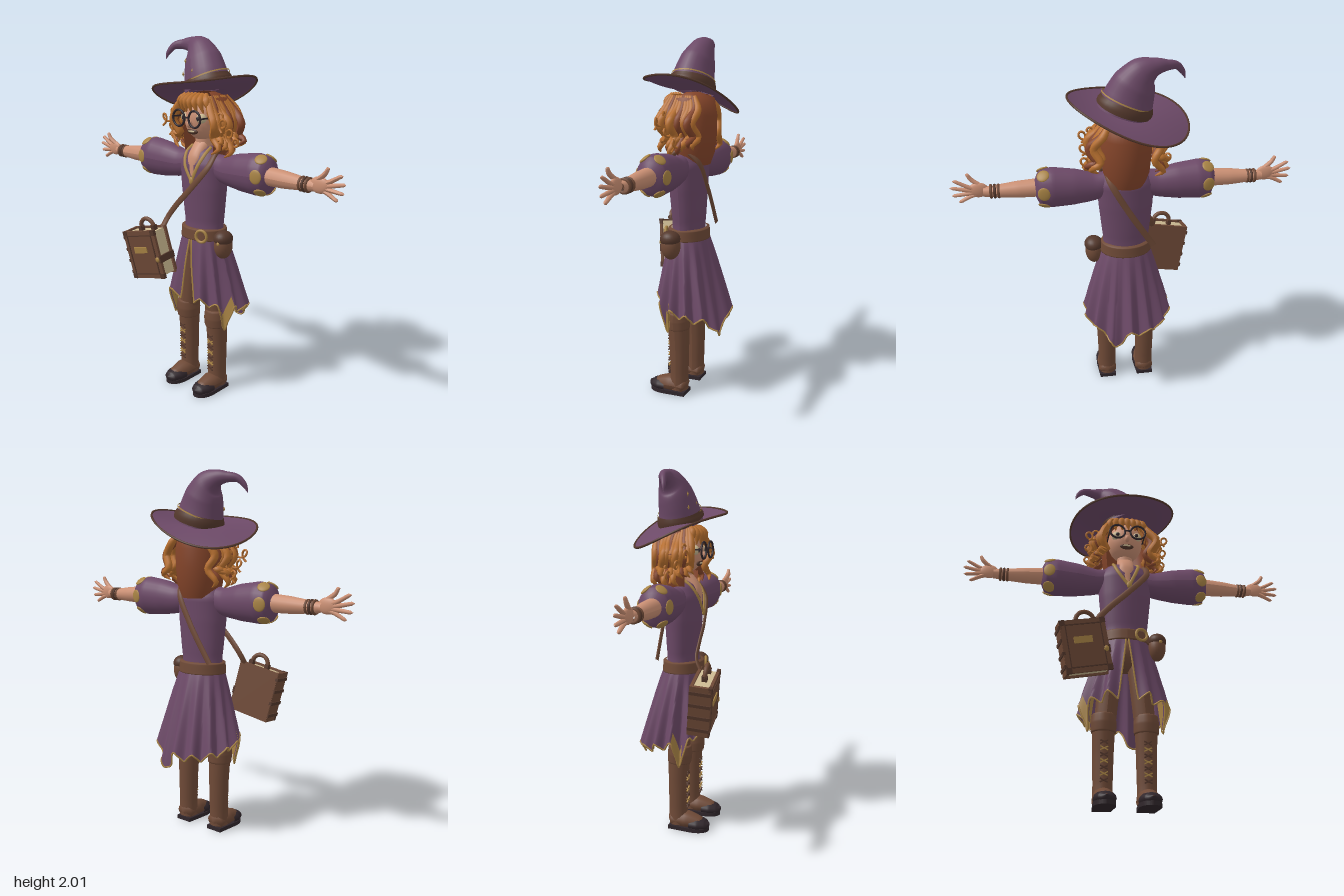
import * as THREE from 'three';
import { ParametricGeometry } from 'three/addons/geometries/ParametricGeometry.js';

const mat = (name, color, side = THREE.FrontSide) => {
  const m = new THREE.MeshStandardMaterial({ color, side });
  m.name = name;
  return m;
};
const V = (p) => new THREE.Vector3(...p);

export function createModel() {
  const D = THREE.DoubleSide;
  const purple = mat('purple cloth', 0x6c4967, D), brown = mat('brown leather', 0x6f4a37);
  const darkBrown = mat('dark leather', 0x54382c), orange = mat('orange hair', 0xb8702f);
  const rust = mat('rust hair', 0x85452a, D), skin = mat('skin', 0xcb9074);
  const gold = mat('gold', 0xa98445, D), cream = mat('cream', 0xcdbb93);
  const black = mat('black', 0x30262b);
  const root = new THREE.Group();
  root.name = 'witch';
  let seed = 7;
  const rnd = () => (seed = (seed * 16807) % 2147483647) / 2147483647;

  const group = (name, parent = root) => {
    const g = new THREE.Group();
    g.name = name;
    parent.add(g);
    return g;
  };
  const add = (parent, name, geo, material, pos = [0, 0, 0], rot = [0, 0, 0], scale = [1, 1, 1]) => {
    const m = new THREE.Mesh(geo, material);
    m.name = name;
    m.position.set(...pos);
    m.rotation.set(...rot);
    m.scale.set(...scale);
    parent.add(m);
    return m;
  };
  // Tube whose radius follows the control points; squash flattens it along the axes
  const loft = (pts, radii, squash = [1, 1, 1], n = 24, sides = 16) => {
    const curve = new THREE.CatmullRomCurve3(pts.map(V));
    const geo = new THREE.TubeGeometry(curve, n, 1, sides);
    const pos = geo.attributes.position, p = new THREE.Vector3();
    for (let i = 0; i <= n; i++) {
      const c = curve.getPointAt(i / n);
      const f = curve.getUtoTmapping(i / n) * (pts.length - 1);
      const k = Math.min(Math.floor(f), pts.length - 2);
      const r = Array.isArray(radii) ? THREE.MathUtils.lerp(radii[k], radii[k + 1], f - k) : radii;
      for (let j = 0; j <= sides; j++) {
        const q = i * (sides + 1) + j;
        p.fromBufferAttribute(pos, q).sub(c).multiplyScalar(r).multiply(V(squash)).add(c);
        pos.setXYZ(q, p.x, p.y, p.z);
      }
    }
    geo.computeVertexNormals();
    return geo;
  };
  const box = (x, y, z) => new THREE.BoxGeometry(x, y, z);
  const ball = new THREE.SphereGeometry(1, 24, 16);

  // Hat: bent cone, wavy brim, band and stars
  const hat = group('hat');
  add(hat, 'hatCone', loft(
    [[0.01, 1.73, -0.03], [-0.015, 1.81, -0.035], [-0.045, 1.88, -0.045], [-0.085, 1.935, -0.055],
      [-0.14, 1.962, -0.06], [-0.2, 1.966, -0.05], [-0.255, 1.957, -0.03], [-0.29, 1.92, -0.015], [-0.305, 1.885, -0.01]],
    [0.145, 0.13, 0.113, 0.083, 0.046, 0.028, 0.02, 0.014, 0.002], [1, 1, 0.82], 48, 28), purple);
  add(hat, 'hatBand', loft([[0.01, 1.745, -0.03], [0.003, 1.765, -0.032], [-0.005, 1.79, -0.033]],
    [0.15, 0.149, 0.138], [1, 1, 0.84], 6, 28), darkBrown);
  add(hat, 'hatBandTrim', loft([[-0.003, 1.785, -0.033], [-0.006, 1.792, -0.033]],
    [0.141, 0.14], [1, 1, 0.84], 2, 28), gold);
  const brimPoint = (r, a) => [-0.015 + 0.315 * r * Math.cos(a),
    1.725 + r * r * (0.08 * Math.cos(a) + 0.06 * Math.sin(a) - 0.025 * Math.sin(2 * a) + 0.01 * Math.cos(2 * a)),
    -0.02 + 0.243 * r * Math.sin(a)];
  add(hat, 'hatBrim', new ParametricGeometry((u, v, t) =>
    t.set(...brimPoint(0.3 + 0.7 * v, -u * Math.PI * 2)), 56, 8), purple);
  const rim = Array.from({ length: 40 }, (_, i) => V(brimPoint(1, i / 40 * Math.PI * 2)));
  add(hat, 'brimEdge', new THREE.TubeGeometry(new THREE.CatmullRomCurve3(rim, true), 80, 0.006, 6, true), darkBrown);
  [[-0.09, 1.88, 0.044], [-0.015, 1.83, 0.067], [-0.1, 1.81, 0.052], [0.03, 1.86, 0.044]].forEach((p) =>
    add(hat, 'hatStar', new THREE.OctahedronGeometry(0.014), gold, p, [0, 0, 0], [0.6, 1, 0.4]));

  // Head and face
  const head = group('head');
  add(head, 'face', ball, skin, [0, 1.58, 0], [0, 0, 0], [0.102, 0.122, 0.1]);
  add(head, 'nose', ball, skin, [0, 1.555, 0.1], [0, 0, 0], [0.016, 0.022, 0.02]);
  add(head, 'neck', loft([[0, 1.37, -0.01], [0, 1.48, -0.005], [0, 1.53, 0]], [0.05, 0.045, 0.05]), skin);
  add(head, 'lips', ball, darkBrown, [0, 1.512, 0.08], [0.35, 0, 0], [0.04, 0.016, 0.012]);
  add(head, 'teeth', ball, cream, [0, 1.514, 0.088], [0.35, 0, 0], [0.026, 0.006, 0.007]);
  for (const s of [-1, 1]) {
    add(head, 'eye', ball, cream, [s * 0.058, 1.585, 0.07], [0, 0, 0], [0.03, 0.027, 0.028]);
    add(head, 'pupil', ball, black, [s * 0.056, 1.585, 0.095], [0, 0, 0], [0.011, 0.012, 0.006]);
    add(head, 'glassesRim', new THREE.TorusGeometry(0.044, 0.006, 8, 28), black, [s * 0.06, 1.585, 0.125]);
    add(head, 'glassesArm', box(0.006, 0.008, 0.13), black, [s * 0.106, 1.59, 0.06]);
  }
  add(head, 'glassesBridge', box(0.034, 0.007, 0.007), black, [0, 1.59, 0.13]);

  // Hair: smooth back, fringe, side locks and loose ringlets
  const hair = group('hair');
  const profile = [[0.04, 1.72], [0.12, 1.69], [0.135, 1.6], [0.135, 1.5], [0.125, 1.4], [0.1, 1.33]];
  add(hair, 'backHair', new THREE.LatheGeometry(profile.map((p) => new THREE.Vector2(...p)), 32, 1.05, Math.PI * 2 - 2.1),
    rust, [0, 0, -0.03]);
  for (let i = -3; i <= 3; i++) {
    const x = i * 0.03;
    add(hair, 'fringe', loft([[x * 0.8, 1.71, 0.05], [x * 1.1, 1.675, 0.098 - x * x * 3], [x * 1.3 + 0.01, 1.615, 0.1 - x * x * 4]],
      [0.014, 0.022, 0.003], [1, 1, 1], 8, 8), orange);
  }
  for (const s of [-1, 1]) {
    for (let i = 0; i < 12; i++) {
      const z = 0.075 - i * 0.0175, out = 0.15 + rnd() * 0.06, low = 1.38 + rnd() * 0.09;
      add(hair, 'sideLock', loft([[s * 0.09, 1.7, z * 0.7], [s * 0.13, 1.63, z], [s * out, 1.56, z + rnd() * 0.02],
        [s * (out - 0.035), 1.49, z - 0.01], [s * (out + 0.015), low + 0.03, z], [s * (out - 0.025), low, z + 0.015]],
      [0.012, 0.022, 0.022, 0.02, 0.015, 0.003], [1, 1, 1], 22, 8), i % 4 === 2 ? rust : orange);
    }
    for (let i = 0; i < 3; i++) {
      const pts = Array.from({ length: 15 }, (_, k) => {
        const a = k * 0.75, f = k / 14;
        return [s * (0.17 + 0.07 * f + 0.028 * Math.cos(a)), 1.6 - i * 0.055 - 0.05 * f + 0.028 * Math.sin(a), 0.05 - i * 0.05 + 0.04 * f];
      });
      add(hair, 'ringlet', loft(pts, 0.006, [1, 1, 1], 60, 6), orange);
    }
  }

  // Bodice, neckline and shoulder strap
  const body = group('body');
  add(body, 'bodice', loft([[0, 0.92, -0.01], [0, 1.0, -0.012], [0, 1.2, -0.01], [0, 1.33, -0.01], [0, 1.4, -0.01], [0, 1.43, -0.01]],
    [0.13, 0.128, 0.15, 0.157, 0.115, 0.045], [1, 1, 0.66], 30, 28), purple);
  add(body, 'neckline', loft([[0, 1.43, 0.015], [0, 1.36, 0.074], [0.005, 1.27, 0.092]], [0.05, 0.042, 0.008], [1, 1, 0.35]), skin);
  for (const s of [-1, 1]) add(body, 'neckTrim', loft([[s * 0.07, 1.425, 0.01], [s * 0.07, 1.39, 0.058], [s * 0.05, 1.33, 0.092], [0.01, 1.24, 0.102]],
    0.01, [1, 1, 0.6], 20, 8), gold);
  add(body, 'brooch', ball, gold, [0.012, 1.245, 0.103], [0, 0, 0], [0.016, 0.022, 0.01]);
  add(body, 'shoulderStrap', loft([[-0.14, 0.98, -0.12], [0, 1.2, -0.124], [0.09, 1.36, -0.1], [0.11, 1.415, -0.01], [0.115, 1.33, 0.078],
    [0, 1.19, 0.11], [-0.1, 1.09, 0.115], [-0.165, 1.01, 0.12], [-0.18, 0.95, 0.15]], 0.018, [1, 1, 0.4], 60, 10), brown);

  // Arms: puffed sleeves, gold patches, bracelets and spread fingers
  for (const s of [-1, 1]) {
    const arm = group(s > 0 ? 'leftArm' : 'rightArm');
    add(arm, 'sleeve', loft([[s * 0.09, 1.33, -0.01], [s * 0.17, 1.312, -0.01], [s * 0.28, 1.315, -0.01], [s * 0.4, 1.32, -0.01],
      [s * 0.465, 1.322, -0.01], [s * 0.49, 1.322, -0.01]], [0.065, 0.078, 0.1, 0.112, 0.096, 0.04], [1, 1, 0.82], 30, 24), purple);
    const cuff = group('cuffPatches', arm);
    cuff.position.set(s * 0.443, 1.321, -0.01);
    cuff.scale.z = 0.82;
    for (let i = 0; i < 6; i++) {
      const a = i * Math.PI / 3 + 0.5;
      add(cuff, 'cuffPatch', ball, gold, [0, Math.cos(a) * 0.1, Math.sin(a) * 0.1], [a, 0, -s * 0.25], [0.034, 0.01, 0.038]);
    }
    add(arm, 'forearm', loft([[s * 0.46, 1.322, -0.005], [s * 0.58, 1.318, -0.005], [s * 0.7, 1.315, -0.005], [s * 0.76, 1.315, -0.005]],
      [0.05, 0.045, 0.032, 0.026]), skin);
    for (const x of [0.68, 0.7, 0.72]) add(arm, 'bracelet', new THREE.TorusGeometry(0.032, 0.008, 8, 20),
      x === 0.7 ? darkBrown : brown, [s * x, 1.315, -0.005], [0, Math.PI / 2, 0]);
    add(arm, 'palm', ball, skin, [s * 0.785, 1.325, 0], [0, 0, 0], [0.054, 0.042, 0.018]);
    [[0.845, 1.415, 0.01], [0.915, 1.385], [0.932, 1.345], [0.925, 1.3], [0.893, 1.262]].forEach(([x, y, z = -0.002], i) =>
      add(arm, i ? 'finger' : 'thumb', loft([[s * 0.77, 1.348 - i * 0.011, 0], [s * 0.82, (i ? 1.355 : 1.385) - i * 0.015, z], [s * (x - 0.006), y, z], [s * x, y, z]],
        [0.013, 0.0125, 0.009, 0.001], [1, 1, 1], 12, 8), skin));
  }

  // Belt, buckle and pouch
  const belt = group('belt');
  add(belt, 'beltStrap', loft([[0, 0.905, -0.01], [0, 0.91, -0.01], [0, 0.97, -0.01], [0, 0.975, -0.01]],
    [0.12, 0.145, 0.14, 0.12], [1, 1, 0.8], 14, 28), brown);
  add(belt, 'buckle', new THREE.TorusGeometry(0.033, 0.008, 8, 24), gold, [0.08, 0.94, 0.095], [0, 0.3, 0]);
  add(belt, 'pouch', ball, brown, [0.178, 0.895, 0.02], [0, 0, 0], [0.05, 0.076, 0.055]);
  add(belt, 'pouchFlap', ball, darkBrown, [0.18, 0.935, 0.022], [0, 0, 0], [0.052, 0.045, 0.057]);
  add(belt, 'pouchButton', ball, gold, [0.19, 0.915, 0.076], [0, 0, 0], [0.01, 0.01, 0.006]);

  // Skirt: pleated, split at the front, ragged hem with gold lining
  const skirt = group('skirt');
  const peak = (a, c, w) => Math.max(0, 1 - Math.abs(a - c) / w);
  const skirtPoint = (side, t, k = 1) => {
    const gap = 0.03 + 0.22 * t, a = gap + side * (Math.PI * 2 - 2 * gap);
    const tooth = Math.abs(((a * 14 / Math.PI / 2) % 1) - 0.5) * 0.11;
    const hem = 0.49 + 0.055 * Math.cos(a) + tooth - 0.13 * (peak(a, 1.1, 0.25) + peak(a, 5.18, 0.25)) - 0.1 * peak(a, 2.75, 0.3);
    const e = Math.pow(t, 0.85), fold = k * (1 + 0.07 * t * Math.cos(14 * a));
    return [Math.sin(a) * (0.128 + 0.112 * e) * fold, 0.945 + (hem - 0.945) * t,
      -0.01 - 0.04 * e + Math.cos(a) * (0.1 + 0.095 * e) * fold];
  };
  add(skirt, 'skirtCloth', new ParametricGeometry((u, v, p) => p.set(...skirtPoint(u, v)), 168, 14), purple);
  for (const [from, to] of [[0.01, 0.2], [0.8, 0.99]]) {
    add(skirt, 'skirtLining', new ParametricGeometry((u, v, p) =>
      p.set(...skirtPoint(from + u * (to - from), 0.3 + 0.69 * v, 0.965)), 36, 8), gold);
    const mid = from < 0.5 ? 0.165 : 0.835;
    add(skirt, 'goldTip', new ParametricGeometry((u, v, p) =>
      p.set(...skirtPoint(mid + (u - 0.5) * 0.045, 0.82 + 0.18 * v, 1.015)), 12, 4), gold);
  }
  const trim = (pts) => add(skirt, 'skirtTrim', loft(pts, 0.005, [1, 1, 1], pts.length * 2, 5), gold);
  trim(Array.from({ length: 113 }, (_, i) => skirtPoint(i / 112, 1)));
  for (const u of [0, 1]) trim(Array.from({ length: 10 }, (_, i) => skirtPoint(u, i / 9)));

  // Legs, laced boots and shoes
  add(root, 'hips', ball, brown, [0, 0.85, -0.01], [0, 0, 0], [0.125, 0.1, 0.085]);
  for (const s of [-1, 1]) {
    const leg = group(s > 0 ? 'leftLeg' : 'rightLeg'), x = s * 0.115;
    add(leg, 'thigh', loft([[s * 0.07, 0.86, -0.01], [s * 0.09, 0.65, 0], [s * 0.108, 0.45, 0.005]], [0.064, 0.062, 0.058]), brown);
    add(leg, 'bootShaft', loft([[x, 0.03, 0], [x, 0.12, -0.002], [x, 0.28, -0.002], [x, 0.42, 0.003]], [0.054, 0.052, 0.056, 0.062]), brown);
    add(leg, 'bootCuff', loft([[x, 0.395, 0.004], [x, 0.4, 0.004], [x, 0.45, 0.007], [x, 0.495, 0.007], [x, 0.5, 0.007]],
      [0.055, 0.067, 0.07, 0.064, 0.05]), brown);
    add(leg, 'foot', loft([[x, 0.045, -0.054], [x, 0.05, -0.04], [x, 0.055, 0.05], [x, 0.042, 0.13], [x, 0.04, 0.165]],
      [0.005, 0.05, 0.056, 0.04, 0.01], [1.02, 0.85, 1]), brown);
    add(leg, 'toeCap', loft([[x, 0.038, 0.075], [x, 0.038, 0.12], [x, 0.038, 0.165], [x, 0.045, 0.185]],
      [0.05, 0.051, 0.034, 0.003], [1.15, 0.72, 1], 16), black);
    const sole = new THREE.Shape();
    sole.moveTo(-0.048, 0.05).lineTo(0.048, 0.05).lineTo(0.058, -0.09)
      .quadraticCurveTo(0.055, -0.17, 0, -0.18).quadraticCurveTo(-0.055, -0.17, -0.058, -0.09);
    add(leg, 'sole', new THREE.ExtrudeGeometry(sole, { depth: 0.022, bevelEnabled: false }), black, [x, 0, 0], [-Math.PI / 2, 0, 0]);
    for (let i = 0; i < 7; i++) for (const d of [-1, 1])
      add(leg, 'lace', box(0.045, 0.006, 0.008), i % 2 ? gold : darkBrown, [x, 0.14 + i * 0.033, 0.056], [0, 0, d * 0.45]);
  }

  // Book bag: covers, pages, spine ridges, fittings and handle
  const book = group('bookBag');
  book.position.set(-0.245, 0.8, 0.188);
  book.rotation.set(0.1, 0.12, 0.2);
  for (const z of [-0.05, 0.05]) add(book, 'cover', box(0.245, 0.285, 0.016), brown, [0, 0, z]);
  add(book, 'pages', box(0.22, 0.262, 0.09), cream, [0, 0, 0]);
  add(book, 'spine', box(0.018, 0.285, 0.11), brown, [-0.115, 0, 0]);
  for (let i = 0; i < 4; i++) add(book, 'spineRidge', box(0.016, 0.018, 0.116), darkBrown, [-0.122, -0.105 + i * 0.07, 0]);
  for (const s of [-1, 1]) {
    add(book, 'coverFrame', box(0.006, 0.23, 0.006), darkBrown, [s * 0.095, 0, 0.06]);
    add(book, 'coverFrame', box(0.19, 0.006, 0.006), darkBrown, [0, s * 0.115, 0.06]);
    for (const t of [-1, 1]) add(book, 'corner', box(0.03, 0.03, 0.02), darkBrown, [s * 0.109, t * 0.129, 0.051]);
    add(book, 'handleLoop', box(0.022, 0.03, 0.03), darkBrown, [s * 0.05 + 0.03, 0.145, 0]);
  }
  add(book, 'label', box(0.1, 0.036, 0.006), gold, [-0.01, 0.03, 0.06]);
  add(book, 'claspBand', box(0.012, 0.04, 0.12), darkBrown, [0.122, -0.03, 0]);
  add(book, 'clasp', ball, gold, [0.105, -0.03, 0.06], [0, 0, 0], [0.014, 0.016, 0.008]);
  add(book, 'handle', new THREE.TorusGeometry(0.05, 0.012, 10, 24, Math.PI), brown, [0.03, 0.15, 0]);
  return root;
}
